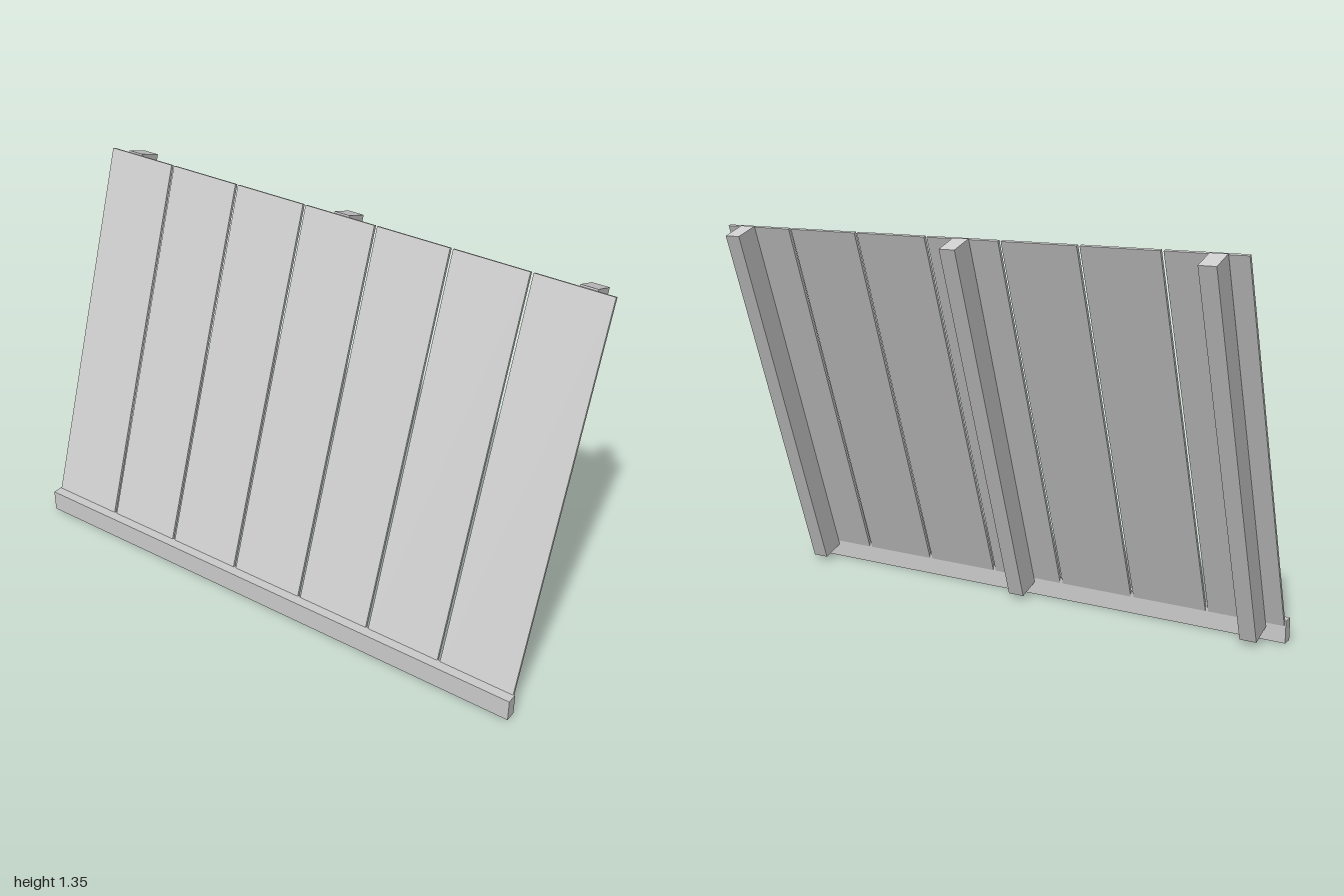
import * as THREE from 'three';

export function createModel() {
  const model = new THREE.Group();
  const grey = new THREE.MeshStandardMaterial({ color: 0xcccccc });
  grey.name = 'plain grey';

  const addBox = (parent, name, size, position) => {
    const mesh = new THREE.Mesh(new THREE.BoxGeometry(...size), grey);
    mesh.name = name;
    mesh.position.set(...position);
    parent.add(mesh);
  };

  // Horizontal rail along the ground at the front
  addBox(model, 'baseRail', [2, 0.08, 0.04], [0, 0.04, 0.268]);

  // Leaning panel, hinged at the back edge of the rail
  const panel = new THREE.Group();
  panel.name = 'leaningPanel';
  panel.position.set(0, 0.046, 0.249);
  panel.rotation.x = -Math.atan2(0.45, 1.3);
  model.add(panel);

  // Seven thin boards with narrow gaps
  const pitch = 2 / 7;
  for (let i = 0; i < 7; i++) {
    addBox(panel, `board${i + 1}`, [0.275, 1.37, 0.011], [(i - 3) * pitch, 0.685, 0.0095]);
  }

  // Three support beams behind the boards
  ['rightBeam', 'middleBeam', 'leftBeam'].forEach((name, i) => {
    addBox(panel, name, [0.06, 1.375, 0.09], [(i - 1) * 0.9, 0.6875, -0.045]);
  });

  return model;
}
